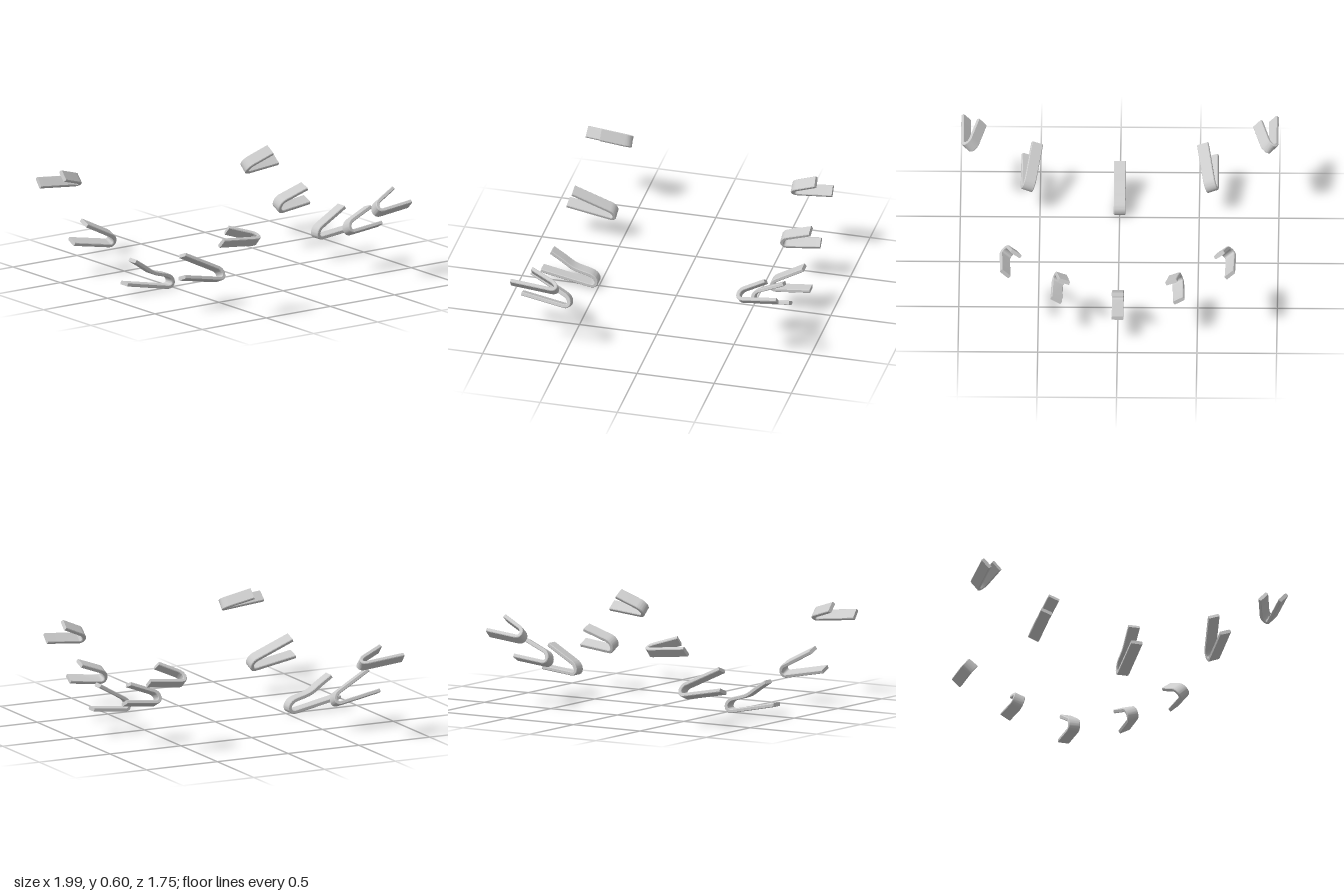
import * as THREE from 'three';
import { toCreasedNormals } from 'three/addons/utils/BufferGeometryUtils.js';

const HALF_W = 0.037, HALF_T = 0.012, BEVEL = 0.004;

// Chamfered rectangular cross-section of the strip (width, thickness), counter-clockwise
const SECTION = [
  [HALF_W, -HALF_T + BEVEL], [HALF_W, HALF_T - BEVEL],
  [HALF_W - BEVEL, HALF_T], [-HALF_W + BEVEL, HALF_T],
  [-HALF_W, HALF_T - BEVEL], [-HALF_W, -HALF_T + BEVEL],
  [-HALF_W + BEVEL, -HALF_T], [HALF_W - BEVEL, -HALF_T],
];

// Centre line: straight outer leg, rounded bend, inner leg (optionally kinked)
function clipPath(outer, inner, reach) {
  const [a, b] = outer, d = inner[0], e = inner[1];
  const c1 = b.clone().addScaledVector(b.clone().sub(a).normalize(), reach);
  const c2 = d.clone().addScaledVector(d.clone().sub(e).normalize(), reach);
  const bend = new THREE.CubicBezierCurve3(b, c1, c2, d).getPoints(20);
  const leg = inner.length > 2
    ? new THREE.CatmullRomCurve3(inner).getPoints(14).slice(1)
    : [e];
  return [a, ...bend, ...leg];
}

// Sweep the section along the path; the width axis turns from angle0 to angle1
function sweepStrip(path, angle0, angle1) {
  const pos = [], index = [], n = SECTION.length, last = path.length - 1;
  path.forEach((p, i) => {
    const t = path[Math.min(i + 1, last)].clone().sub(path[Math.max(i - 1, 0)]).normalize();
    const ang = THREE.MathUtils.degToRad(THREE.MathUtils.lerp(angle0, angle1, i / last));
    const w = new THREE.Vector3(Math.cos(ang), Math.sin(ang), 0);
    w.addScaledVector(t, -w.dot(t)).normalize();
    const nrm = new THREE.Vector3().crossVectors(t, w);
    for (const [u, v] of SECTION) {
      pos.push(...p.clone().addScaledVector(w, u).addScaledVector(nrm, v).toArray());
    }
  });
  for (let i = 0; i < last; i++) {
    for (let j = 0; j < n; j++) {
      const k = (j + 1) % n, r = i * n, s = r + n;
      index.push(r + j, r + k, s + k, r + j, s + k, s + j);
    }
  }
  // End caps
  for (let j = 1; j < n - 1; j++) {
    index.push(0, j + 1, j, last * n, last * n + j, last * n + j + 1);
  }
  const g = new THREE.BufferGeometry();
  g.setAttribute('position', new THREE.Float32BufferAttribute(pos, 3));
  g.setIndex(index);
  return toCreasedNormals(g, 0.6);
}

// outer: end -> bend, inner: bend -> end, angles: strip tilt on each leg
const CLIPS = [
  { name: 'frontCentreClip', reach: 0.067, angles: [0, 0],
    outer: [[0, 0.085, 0.87], [0, 0.023, 0.56]],
    inner: [[0, 0.1, 0.56], [0, 0.13, 0.66], [0, 0.18, 0.735], [0, 0.225, 0.805]] },
  { name: 'frontMiddleClip', reach: 0.045, angles: [22, 21], pair: true,
    outer: [[0.582, 0.237, 0.85], [0.585, 0.186, 0.575]],
    inner: [[0.56, 0.252, 0.572], [0.52, 0.362, 0.8]] },
  { name: 'frontOuterClip', reach: 0.045, angles: [48, 48], pair: true,
    outer: [[0.966, 0.535, 0.825], [0.965, 0.51, 0.57]],
    inner: [[0.913, 0.538, 0.57], [0.867, 0.582, 0.71]] },
  { name: 'backCentreClip', reach: 0.045, angles: [0, 0],
    outer: [[0, 0.185, -0.873], [0, 0.162, -0.655]],
    inner: [[0, 0.234, -0.655], [0, 0.333, -0.828]] },
  { name: 'backMiddleClip', reach: 0.045, angles: [28, 20], pair: true,
    outer: [[0.385, 0.295, -0.838], [0.38, 0.272, -0.63]],
    inner: [[0.356, 0.342, -0.63], [0.336, 0.4, -0.785]] },
  { name: 'backOuterClip', reach: 0.045, angles: [42, 38], pair: true,
    outer: [[0.705, 0.49, -0.833], [0.71, 0.468, -0.615]],
    inner: [[0.665, 0.524, -0.615], [0.638, 0.58, -0.742]] },
];

export function createModel() {
  const model = new THREE.Group();
  model.name = 'clipSet';
  const material = new THREE.MeshStandardMaterial({ color: 0xcccccc });
  for (const clip of CLIPS) {
    for (const side of clip.pair ? [1, -1] : [1]) {
      const vec = ([x, y, z]) => new THREE.Vector3(side * x, y, z);
      const path = clipPath(clip.outer.map(vec), clip.inner.map(vec), clip.reach);
      const mesh = new THREE.Mesh(
        sweepStrip(path, side * clip.angles[0], side * clip.angles[1]), material);
      mesh.name = clip.pair ? clip.name + (side > 0 ? 'Left' : 'Right') : clip.name;
      model.add(mesh);
    }
  }
  return model;
}
